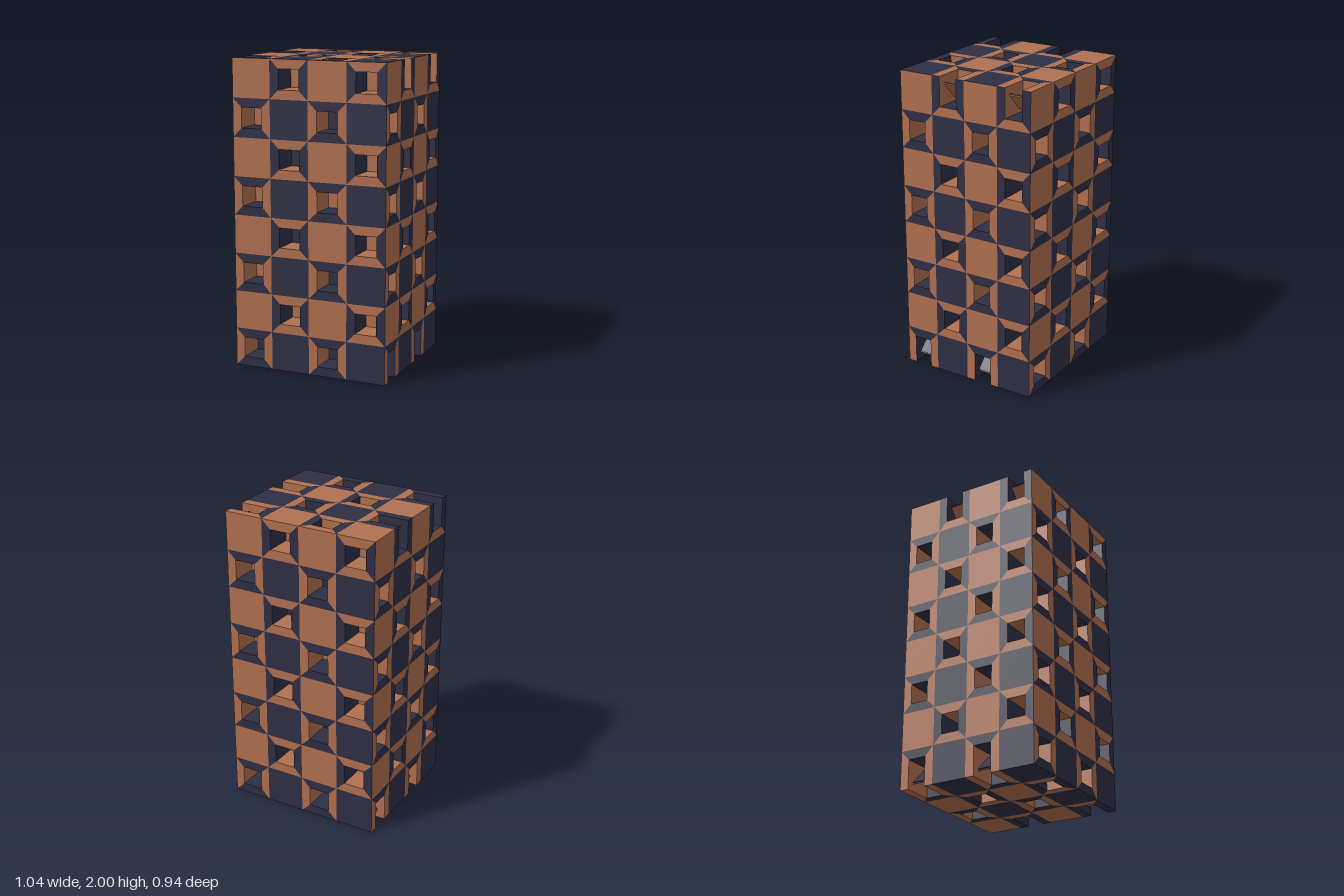
import * as THREE from 'three';

const COUNT = [4, 8, 4];              // cells along x, y, z
const CELL = [0.26, 0.25, 0.235];     // cell size
const INSET = [0.06, 0.06, 0.058];    // frame width round each window
const ORIGIN = [-0.52, 0, -0.47];

export function createModel() {
  const model = new THREE.Group();
  model.name = 'latticeBlock';
  const material = (name, color) => {
    const m = new THREE.MeshStandardMaterial({ color, side: THREE.DoubleSide });
    m.name = name;
    return m;
  };
  const copper = material('copper', 0xb07050);
  const navy = material('navy', 0x2f2f45);
  const other = (m) => (m === copper ? navy : copper);

  // Builds one side of the block: tiles, mitred window frames and the hollows behind them.
  function side(name, n, sign, u, v) {
    const buckets = new Map([[copper, []], [navy, []]]);
    const plane = sign > 0 ? ORIGIN[n] + COUNT[n] * CELL[n] : ORIGIN[n];
    const last = sign > 0 ? COUNT[n] - 1 : 0;
    // u, v are positions on the side, d is the depth below it
    const point = ([a, b, d]) => {
      const p = [0, 0, 0];
      p[u] = a; p[v] = b; p[n] = plane - sign * d;
      return p;
    };
    const flip = ((u + 1) % 3 === v ? 1 : -1) * sign < 0;
    const quad = (mat, a, b, c, d) => {
      const [p, q, r, s] = (flip ? [a, d, c, b] : [a, b, c, d]).map(point);
      buckets.get(mat).push(...p, ...q, ...r, ...p, ...r, ...s);
    };

    const capIsNavy = (i, j) => {
      if (n === 1) return j === 0 || j === 3 || i === 0 || i === 3;
      if (n === 0) return j === 0 || j === 3 || j === 5 || (j % 4 === 2 && i === 3);
      return j === 0 || ([2, 3, 5, 6].includes(j) && (i === 1 || i === 2));
    };

    for (let i = 0; i < COUNT[u]; i++) for (let j = 0; j < COUNT[v]; j++) {
      const even = (i + j + last) % 2 === 0;
      const open = n === 2 ? !even : even;
      const row = (n === 1 ? j % 2 === 0 : j % 2 === 1) ? copper : navy;
      const u0 = ORIGIN[u] + i * CELL[u], u1 = u0 + CELL[u];
      const v0 = ORIGIN[v] + j * CELL[v], v1 = v0 + CELL[v];
      if (!open) {
        quad(row, [u0, v0, 0], [u1, v0, 0], [u1, v1, 0], [u0, v1, 0]);
        continue;
      }
      // windows run out through the long edges of the block as notches
      const cutU0 = n === 1 && i === 0, cutU1 = n === 1 && i === COUNT[u] - 1;
      const cutV0 = n === 0 && j === 0, cutV1 = n === 0 && j === COUNT[v] - 1;
      const notch = cutU0 || cutU1 || cutV0 || cutV1;
      const a0 = cutU0 ? u0 : u0 + INSET[u], a1 = cutU1 ? u1 : u1 - INSET[u];
      const b0 = cutV0 ? v0 : v0 + INSET[v], b1 = cutV1 ? v1 : v1 - INSET[v];
      const depth = CELL[n] - INSET[n];
      const rim = [[a0, b0], [a1, b0], [a1, b1], [a0, b1]];
      // frame corners stay square where the frame is cut by an edge
      const outer = [[u0, v0], [u1, v0], [u1, v1], [u0, v1]];
      const cuts = [cutV0, cutU1, cutV1, cutU0];
      for (let k = 0; k < 4; k++) {
        if (cuts[k]) continue;
        const m = (k + 1) % 4;
        const mat = k % 2 === 0 ? row : other(row);
        quad(mat, [...outer[k], 0], [...outer[m], 0], [...rim[m], 0], [...rim[k], 0]);
        const wall = !notch || (n === 1 && k % 2 === 0);
        if (wall) quad(mat, [...rim[k], 0], [...rim[m], 0], [...rim[m], depth], [...rim[k], depth]);
      }
      quad(capIsNavy(i, j) ? navy : copper, ...rim.map((p) => [...p, depth]));
    }

    const group = new THREE.Group();
    group.name = name;
    for (const [mat, data] of buckets) {
      const geometry = new THREE.BufferGeometry();
      geometry.setAttribute('position', new THREE.Float32BufferAttribute(data, 3));
      geometry.computeVertexNormals();
      const mesh = new THREE.Mesh(geometry, mat);
      mesh.name = name + (mat === copper ? 'Copper' : 'Navy');
      group.add(mesh);
    }
    model.add(group);
  }

  side('frontSide', 2, 1, 0, 1);
  side('backSide', 2, -1, 0, 1);
  side('leftSide', 0, 1, 2, 1);
  side('rightSide', 0, -1, 2, 1);
  side('topSide', 1, 1, 0, 2);
  side('bottomSide', 1, -1, 0, 2);

  // Slanted plates inside the edge notches, navy above and copper below
  const plates = new THREE.Group();
  plates.name = 'notchPlates';
  for (const i of [0, 3]) for (const j of [0, 7]) for (let k = 0; k < 4; k++) {
    if ((i + j + k) % 2) continue;
    const sx = i ? 1 : -1, sy = j ? 1 : -1;
    for (const [mat, shift] of [[navy, 0.003], [copper, -0.003]]) {
      const plate = new THREE.Mesh(new THREE.BoxGeometry(0.15, 0.006, CELL[2] - 2 * INSET[2]), mat);
      plate.position.set(sx * 0.415, 1 + sy * 0.895 + shift * 1.4, ORIGIN[2] + (k + 0.5) * CELL[2]);
      plate.rotation.z = sx * sy * Math.PI / 4;
      plate.name = 'notchPlate';
      plates.add(plate);
    }
  }
  model.add(plates);
  return model;
}
